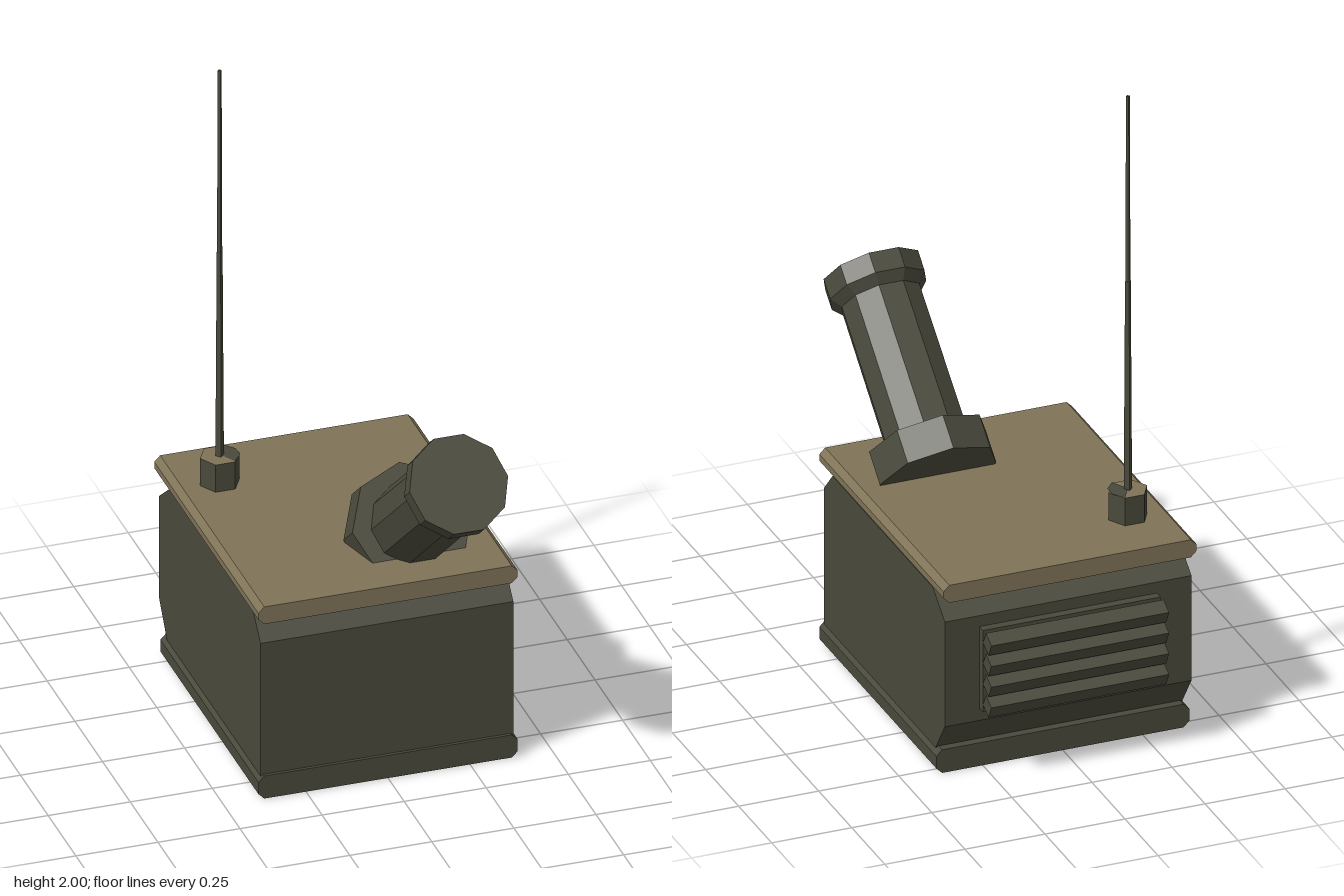
import * as THREE from 'three';

const material = (name, color) => {
  const m = new THREE.MeshStandardMaterial({ color });
  m.name = name;
  return m;
};

// Faceted normals
function flat(geometry) {
  const g = geometry.index ? geometry.toNonIndexed() : geometry;
  g.computeVertexNormals();
  return g;
}

// Extrude an outline along z, from z0 to z1
function prism(points, z0, z1) {
  const shape = new THREE.Shape(points.map(([x, y]) => new THREE.Vector2(x, y)));
  return new THREE.ExtrudeGeometry(shape, { depth: z1 - z0, bevelEnabled: false }).translate(0, 0, z0);
}

// Slab with bevelled long edges
function slab(halfWidth, y0, y1, bevel, z0, z1) {
  const w = halfWidth, b = bevel;
  return prism([
    [-w + b, y0], [w - b, y0], [w, y0 + b], [w, y1 - b],
    [w - b, y1], [-w + b, y1], [-w, y1 - b], [-w, y0 + b],
  ], z0, z1);
}

// Faceted cylinder between two heights; start turns the first corner
function column(rTop, rBottom, y0, y1, sides, start = 0) {
  return flat(new THREE.CylinderGeometry(rTop, rBottom, y1 - y0, sides, 1, false, start, Math.PI * 2)
    .translate(0, (y0 + y1) / 2, 0));
}

export function createModel() {
  const model = new THREE.Group();
  model.name = 'launcherBox';
  const green = material('dark olive', 0x4a493c);
  const tan = material('tan', 0x7f7357);

  const add = (parent, name, geometry, mat) => {
    const mesh = new THREE.Mesh(geometry, mat);
    mesh.name = name;
    parent.add(mesh);
    return mesh;
  };

  // Box: chamfered side profile in (z, y), extruded across x
  const body = prism([
    [0.345, 0.07], [0.345, 0.51], [0.28, 0.58], [-0.48, 0.58],
    [-0.57, 0.51], [-0.57, 0.17], [-0.5, 0.07],
  ], -0.385, 0.385).rotateY(-Math.PI / 2);
  add(model, 'body', body, green);
  add(model, 'base', slab(0.395, 0, 0.075, 0.018, -0.53, 0.355), green);
  add(model, 'lid', slab(0.395, 0.578, 0.635, 0.018, -0.585, 0.355), tan);

  // Rear vent with tilted slats
  const vent = new THREE.Group();
  vent.name = 'vent';
  model.add(vent);
  add(vent, 'ventPlate', new THREE.BoxGeometry(0.555, 0.265, 0.03).translate(0, 0.342, -0.582), green);
  for (let i = 0; i < 4; i++) {
    const slat = add(vent, 'ventSlat', new THREE.BoxGeometry(0.555, 0.047, 0.047), green);
    slat.position.set(0, 0.445 - i * 0.067, -0.63);
    slat.rotation.x = -0.48;
  }

  // Tilted barrel: origin at the muzzle face, local +y points out of it
  const barrel = new THREE.Group();
  barrel.name = 'barrel';
  barrel.position.set(0.143, 1.063, 0.57);
  barrel.rotation.x = THREE.MathUtils.degToRad(50);
  model.add(barrel);
  const side = Math.PI / 2;
  add(barrel, 'muzzleCap', column(0.15, 0.15, -0.064, 0, 10, side), green);
  add(barrel, 'muzzleTaper', column(0.15, 0.123, -0.094, -0.064, 10, side), green);
  add(barrel, 'tube', column(0.123, 0.125, -0.6, -0.09, 10, side), green);
  add(barrel, 'breechCollar', column(0.182, 0.182, -0.656, -0.55, 8), green);

  // Antenna: hexagonal foot and a two-stage tapering mast
  const antenna = new THREE.Group();
  antenna.name = 'antenna';
  antenna.position.set(-0.265, 0, -0.38);
  model.add(antenna);
  add(antenna, 'antennaFoot', column(0.06, 0.06, 0.63, 0.725, 6, side), [green, tan, green]);
  add(antenna, 'footPatch', new THREE.CircleGeometry(0.059, 2, -Math.PI / 3, Math.PI * 2 / 3)
    .rotateX(-Math.PI / 2).translate(0, 0.727, 0), green);
  add(antenna, 'lowerMast', column(0.009, 0.013, 0.72, 1.4, 4), green);
  add(antenna, 'upperMast', column(0.006, 0.008, 1.4, 2, 4), green);

  return model;
}
